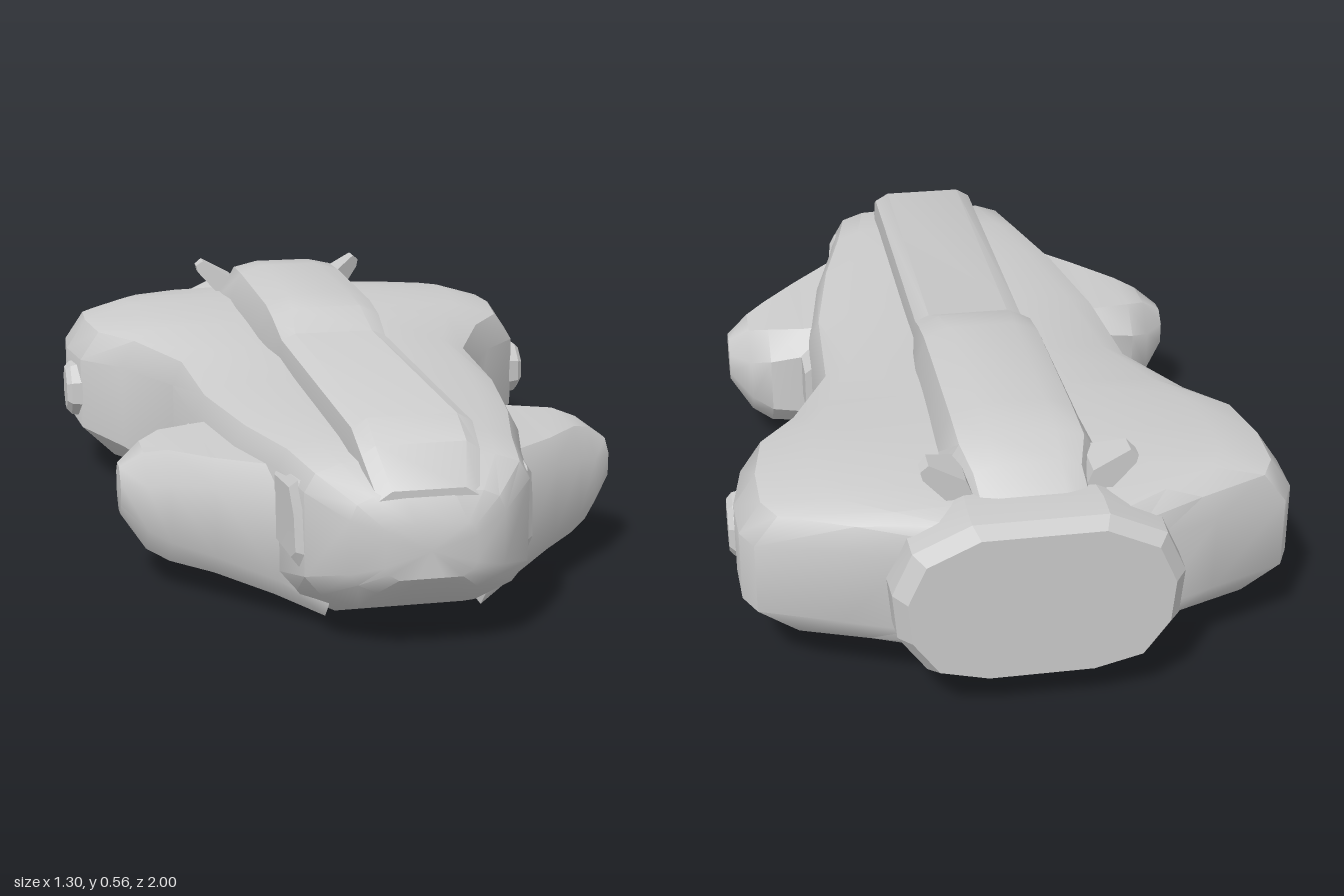
import * as THREE from 'three';
import { toCreasedNormals } from 'three/addons/utils/BufferGeometryUtils.js';

const material = new THREE.MeshStandardMaterial({ color: 0xcccccc });

// Skins closed rings of [x, y, z] points, caps both ends and faces them outward
function loft(rings, crease = 0.6) {
  const n = rings[0].length, tris = [];
  for (let i = 0; i < rings.length - 1; i++) {
    for (let j = 0; j < n; j++) {
      const k = (j + 1) % n, a = rings[i], b = rings[i + 1];
      tris.push([a[j], a[k], b[k]], [a[j], b[k], b[j]]);
    }
  }
  const cap = (ring, flip) => {
    const c = [0, 1, 2].map(d => ring.reduce((s, p) => s + p[d], 0) / n);
    ring.forEach((p, j) => {
      const q = ring[(j + 1) % n];
      tris.push(flip ? [c, p, q] : [c, q, p]);
    });
  };
  cap(rings[0], false);
  cap(rings[rings.length - 1], true);
  // Signed volume tells which way the skin is wound
  const [A, B, C] = [0, 1, 2].map(() => new THREE.Vector3());
  let volume = 0;
  for (const [a, b, c] of tris) {
    volume += A.fromArray(a).dot(B.fromArray(b).cross(C.fromArray(c)));
  }
  if (volume < 0) tris.forEach(t => t.reverse());
  const geo = new THREE.BufferGeometry();
  geo.setAttribute('position', new THREE.Float32BufferAttribute(tris.flat(2), 3));
  return toCreasedNormals(geo, crease);
}

// Completes a bottom-to-top right half section with its mirror image
const mirrored = (half, z) => [
  ...half.map(([x, y]) => [x, y, z]),
  ...half.slice().reverse().map(([x, y]) => [-x, y, z]),
];

// Hull section: half width, flat bottom, flat top, then bottom, side low, side high, top
function hullRing([z, w, bw, tw, yb, lo, hi, yt]) {
  return mirrored([
    [bw * 0.4, yb], [bw, yb],
    [w - (w - bw) * 0.3, yb + (lo - yb) * 0.45],
    [w, lo], [w, hi],
    [w - (w - tw) * 0.3, hi + (yt - hi) * 0.68],
    [tw, yt], [tw * 0.45, yt + 0.004],
  ], z);
}

export function createModel() {
  const ship = new THREE.Group();
  ship.name = 'spaceship';
  const add = (name, geo) => {
    const mesh = new THREE.Mesh(geo, material);
    mesh.name = name;
    ship.add(mesh);
    return mesh;
  };

  // Main hull: blunt nose, narrow waist, swollen rear engine pods
  add('hull', loft([
    [1.00, 0.10, 0.07, 0.08, 0.19, 0.22, 0.28, 0.31],
    [0.97, 0.17, 0.11, 0.12, 0.155, 0.20, 0.32, 0.37],
    [0.88, 0.25, 0.13, 0.17, 0.09, 0.17, 0.36, 0.42],
    [0.72, 0.28, 0.15, 0.20, 0.025, 0.13, 0.37, 0.43],
    [0.50, 0.34, 0.16, 0.25, 0.02, 0.10, 0.36, 0.43],
    [0.20, 0.39, 0.17, 0.30, 0.02, 0.09, 0.35, 0.43],
    [-0.12, 0.40, 0.18, 0.32, 0.02, 0.10, 0.35, 0.44],
    [-0.34, 0.51, 0.25, 0.39, 0.012, 0.13, 0.35, 0.455],
    [-0.45, 0.61, 0.33, 0.44, 0.01, 0.16, 0.35, 0.46],
    [-0.60, 0.635, 0.35, 0.46, 0.01, 0.18, 0.35, 0.465],
    [-0.72, 0.63, 0.33, 0.46, 0.035, 0.18, 0.35, 0.46],
    [-0.78, 0.60, 0.30, 0.42, 0.07, 0.18, 0.35, 0.455],
    [-0.85, 0.42, 0.22, 0.30, 0.09, 0.18, 0.36, 0.45],
    [-0.91, 0.27, 0.15, 0.18, 0.11, 0.18, 0.36, 0.44],
  ].map(hullRing)));

  // Raised spine: z, base half width, shoulder half width and height, top half width and height
  add('spine', loft([
    [0.975, 0.11, 0.11, 0.36, 0.08, 0.38],
    [0.90, 0.13, 0.13, 0.44, 0.10, 0.46],
    [0.82, 0.14, 0.135, 0.48, 0.10, 0.50],
    [0.00, 0.14, 0.135, 0.485, 0.10, 0.50],
    [-0.10, 0.155, 0.14, 0.52, 0.09, 0.545],
    [-0.20, 0.165, 0.14, 0.535, 0.08, 0.56],
    [-0.60, 0.185, 0.14, 0.54, 0.075, 0.562],
    [-0.73, 0.195, 0.14, 0.535, 0.075, 0.55],
    [-0.80, 0.15, 0.12, 0.50, 0.075, 0.515],
    [-0.87, 0.13, 0.11, 0.45, 0.075, 0.46],
  ].map(([z, b, m, ym, t, yt]) =>
    mirrored([[b, 0.3], [b, Math.min(0.44, ym - 0.01)], [m, ym], [t, yt]], z)), 0.5));

  // Rear thruster block, an elongated octagon with a bevelled rim
  const rear = [[0.13, 0.08], [0.25, 0.11], [0.315, 0.20], [0.325, 0.31], [0.28, 0.41], [0.15, 0.47]];
  add('thrusterBlock', loft([[-0.82, 0.97], [-0.89, 1], [-0.96, 0.99], [-1, 0.9]].map(([z, s]) =>
    mirrored(rear.map(([x, y]) => [x * s, 0.275 + (y - 0.275) * s]), z)), 0.3));

  // Shallow keel under the belly
  add('keel', loft([[0.70, 0.03], [0.53, 0.005], [-0.60, 0.003], [-0.68, 0.04]].map(([z, y]) =>
    mirrored([[0.11, y], [0.14, y + 0.02], [0.14, 0.1]], z)), 0.4));

  for (const s of [1, -1]) {
    const side = s > 0 ? 'left' : 'right';

    // Front pods: x, back z, front z, bottom, top, corner cut
    add(side + 'FrontPod', loft([
      [0.18, 0.20, 0.80, 0.03, 0.39, 0.04],
      [0.28, 0.21, 0.73, 0.06, 0.365, 0.05],
      [0.40, 0.215, 0.62, 0.08, 0.355, 0.055],
      [0.49, 0.225, 0.53, 0.08, 0.35, 0.065],
      [0.54, 0.26, 0.49, 0.10, 0.335, 0.065],
      [0.595, 0.325, 0.425, 0.18, 0.295, 0.03],
    ].map(([x, z0, z1, y0, y1, c]) => [
      [z0 + c, y0], [z1 - c, y0], [z1, y0 + c], [z1, y1 - c],
      [z1 - c, y1], [z0 + c, y1], [z0, y1 - c], [z0, y0 + c],
    ].map(([z, y]) => [s * x, y, z])), 0.65));

    // Bevelled block behind each front pod
    add(side + 'Vent', loft([[0.34, 0.075], [0.39, 0.07], [0.41, 0.055]].map(([x, h]) =>
      [[-0.055, -h], [0.055, -h], [0.055, h], [-0.055, h]].map(([z, y]) =>
        [s * x, 0.245 + y, 0.17 + z])), 0.2));

    // Raised panel beside the nose
    add(side + 'NosePanel', loft([[0.22, 0], [0.272, 0], [0.285, 0.02]].map(([x, c]) =>
      [[0.70 + c, 0.19 + c], [0.85 - c, 0.18 + c], [0.88 - c, 0.22], [0.87 - c, 0.32 - c],
        [0.84 - c, 0.375 - c], [0.70 + c, 0.375 - c]]
        .map(([z, y]) => [s * (x - Math.max(0, z - 0.74) * 0.16), y, z])), 0.3));

    // Round-cornered cap on the outside of each rear pod
    add(side + 'PodCap', loft([[0.60, 1.15], [0.635, 1.05], [0.648, 0.85]].map(([x, k]) =>
      Array.from({ length: 8 }, (_, i) => {
        const a = (i + 0.5) * Math.PI / 4;
        return [s * x, 0.255 + 0.07 * k * Math.sin(a), -0.525 + 0.075 * k * Math.cos(a)];
      })), 0.3));

    // Small swept fin at the back of the spine
    const fin = [[0.12, 0.45], [0.18, 0.45], [0.235, 0.51], [0.24, 0.53], [0.222, 0.545], [0.14, 0.5]];
    add(side + 'Fin', loft([0, 1].map(t => fin.map(([x, y]) =>
      [s * x, y, t ? -0.83 : -0.71 - (x - 0.14) * 0.85])), 0.3));

    // Long and short ribs along the belly
    for (const [z, len] of [[-0.05, 0.4], [0.42, 0.2]]) {
      const rib = add(side + 'BellyRib', new THREE.BoxGeometry(0.03, 0.04, len));
      rib.position.set(s * 0.185, 0.03, z);
    }
  }
  return ship;
}
